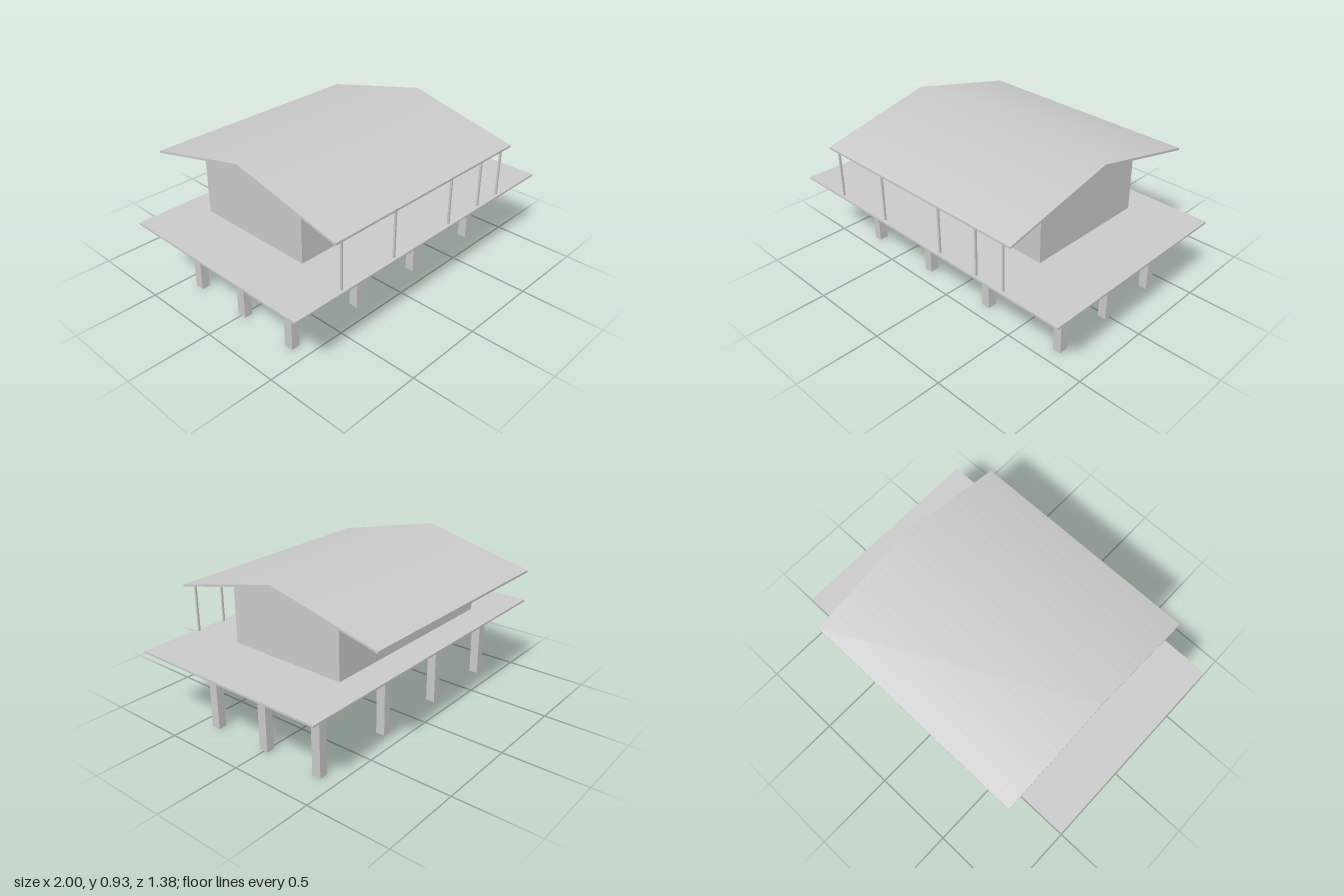
import * as THREE from 'three';

const material = new THREE.MeshStandardMaterial({ color: 0xcccccc });

function add(group, name, geometry, x = 0, y = 0, z = 0) {
  const mesh = new THREE.Mesh(geometry, material);
  mesh.name = name;
  mesh.position.set(x, y, z);
  group.add(mesh);
  return mesh;
}

// Box given by its bottom and top heights
function addBox(group, name, w, d, y0, y1, x, z) {
  return add(group, name, new THREE.BoxGeometry(w, y1 - y0, d), x, (y0 + y1) / 2, z);
}

// Extrudes a list of [z, y] points along x, from x0 to x1
function extrudeAlongX(points, x0, x1) {
  const shape = new THREE.Shape(points.map(([z, y]) => new THREE.Vector2(-z, y)));
  const geometry = new THREE.ExtrudeGeometry(shape, { depth: x1 - x0, bevelEnabled: false });
  return geometry.rotateY(Math.PI / 2).translate(x0, 0, 0);
}

export function createModel() {
  const model = new THREE.Group();
  model.name = 'stiltHouse';

  // Stilts in four rows of three, each row carrying a cross beam
  const stilts = new THREE.Group();
  stilts.name = 'stilts';
  model.add(stilts);
  for (const x of [-0.749, -0.254, 0.238, 0.77]) {
    addBox(stilts, 'crossBeam', 0.104, 0.965, 0.422, 0.452, x, 0.004);
    for (const z of [-0.378, 0.004, 0.385]) {
      addBox(stilts, 'stilt', 0.052, 0.056, 0, 0.4, x, z);
      addBox(stilts, 'stiltCap', 0.078, 0.072, 0.4, 0.422, x, z);
    }
  }

  // Deck
  addBox(model, 'deck', 2, 1.247, 0.452, 0.464, 0, 0.067);

  // House body with gabled ends
  const body = [[0.375, 0.464], [0.375, 0.826], [0, 0.913], [-0.375, 0.826], [-0.375, 0.464]];
  add(model, 'houseWalls', extrudeAlongX(body, -0.652, 0.604));

  // Thin pitched roof, shaded softly across the ridge
  const roof = extrudeAlongX([
    [0.69, 0.752], [0.69, 0.765], [0, 0.926], [-0.69, 0.765], [-0.69, 0.752], [0, 0.913],
  ], -0.735, 0.698);
  const { position, normal } = roof.attributes;
  for (let i = 0; i < position.count; i++) {
    const ny = normal.getY(i);
    if (Math.abs(position.getZ(i)) < 1e-4 && Math.abs(ny) > 0.5) normal.setXYZ(i, 0, Math.sign(ny), 0);
  }
  add(model, 'roof', roof);

  // Slim veranda posts under the front eave
  for (const x of [-0.674, -0.287, 0.171, 0.443, 0.631]) {
    addBox(model, 'verandaPost', 0.011, 0.011, 0.464, 0.759, x, 0.67);
  }

  return model;
}
